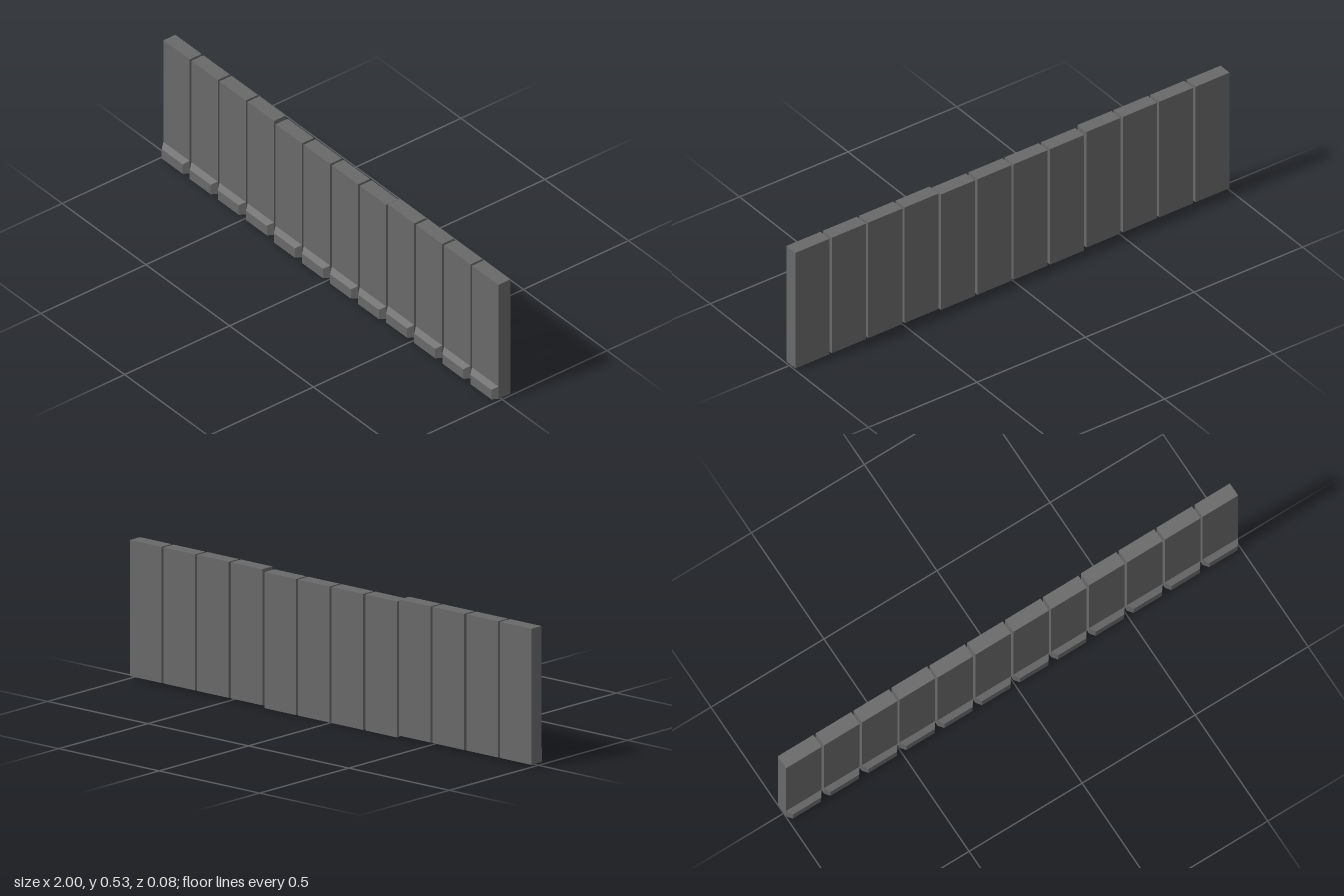
import * as THREE from 'three';

const COUNT = 12, WIDTH = 0.157, HEIGHT = 0.523;
const BACK = -0.039, FACE = 0.018, TOE = 0.039;

// Hollow slab, open underneath, with a chamfered toe along the foot of its face
function slabGeometry() {
  const w = WIDTH / 2, t = w - 0.016;
  const ring = (y, toeX, toeY, toeZ) => [
    [-w, y, BACK], [-w, y, FACE], [-toeX, toeY, toeZ],
    [toeX, toeY, toeZ], [w, y, FACE], [w, y, BACK],
  ].map(p => new THREE.Vector3(...p));
  const rings = [
    ring(0, t, 0, TOE),             // foot
    ring(0.058, t, 0.043, TOE),     // top of the toe
    ring(0.058, w, 0.058, FACE),    // chamfer meets the face
    ring(HEIGHT, w, HEIGHT, FACE),  // top edge
  ];
  const points = [];
  const triangle = (a, b, c) => {
    if (new THREE.Triangle(a, b, c).getArea() > 1e-8) points.push(a, b, c);
  };
  const quad = (a, b, c, d) => { triangle(a, b, c); triangle(a, c, d); };
  for (let r = 0; r < rings.length - 1; r++) {
    const lo = rings[r], hi = rings[r + 1];
    for (let i = 0; i < lo.length; i++) {
      const j = (i + 1) % lo.length;
      quad(lo[i], lo[j], hi[j], hi[i]);
    }
  }
  const top = rings[3];
  quad(top[0], top[1], top[4], top[5]);
  const geometry = new THREE.BufferGeometry().setFromPoints(points);
  geometry.computeVertexNormals();
  return geometry;
}

export function createModel() {
  const model = new THREE.Group();
  model.name = 'panelRow';
  const grey = new THREE.MeshStandardMaterial({ color: 0x696969, side: THREE.DoubleSide, flatShading: true });
  grey.name = 'dark grey';
  const geometry = slabGeometry();

  // Twelve slabs in a row, the middle four sitting slightly lower
  const pitch = (2 - WIDTH) / (COUNT - 1);
  for (let i = 0; i < COUNT; i++) {
    const slab = new THREE.Mesh(geometry, grey);
    slab.name = `panel${i + 1}`;
    const middle = i >= 4 && i < 8;
    slab.position.set((i - (COUNT - 1) / 2) * pitch, middle ? 0 : 0.009, 0);
    model.add(slab);
  }
  return model;
}
